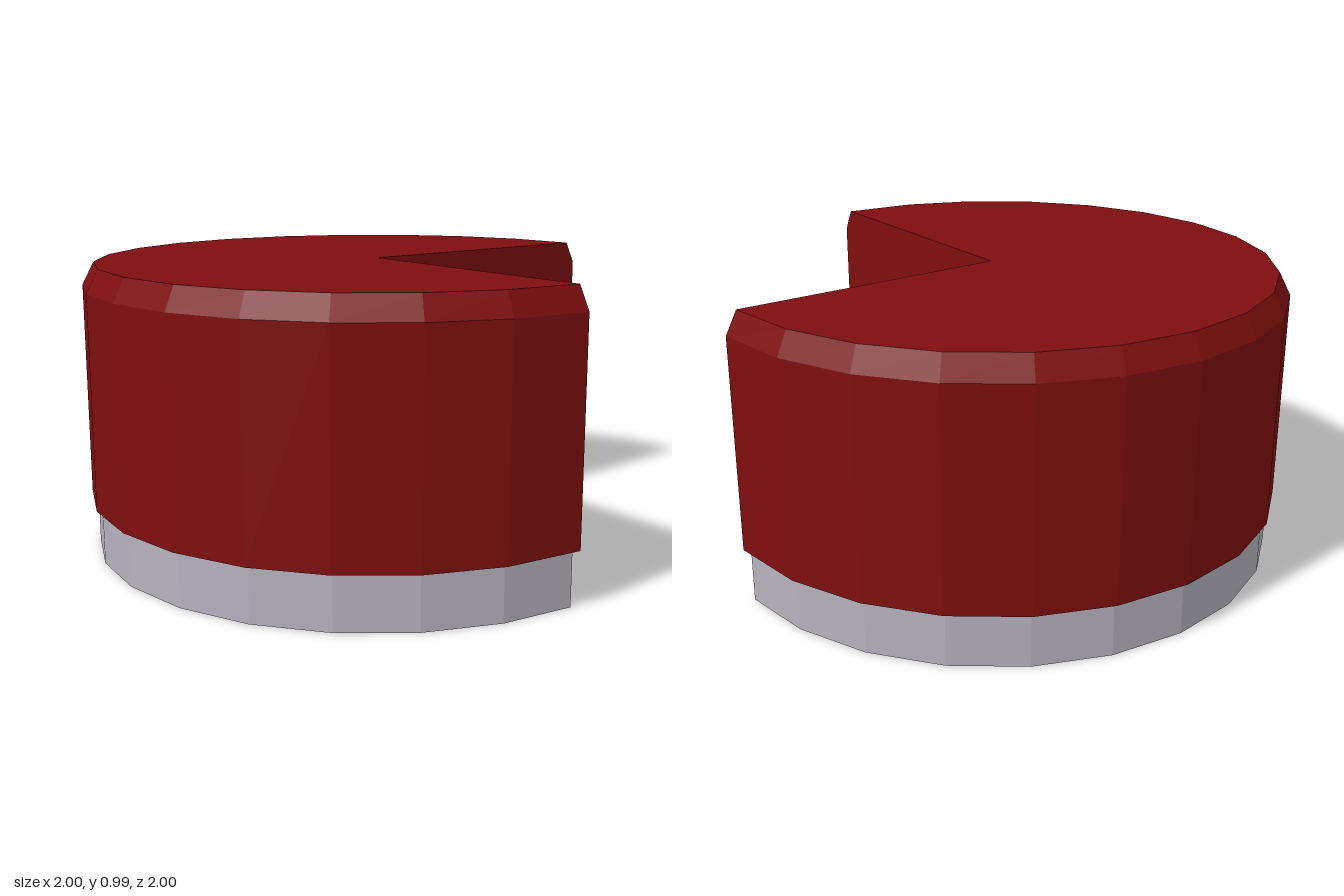
import * as THREE from 'three';

const SEGMENTS = 18; // three quarters of a 24-sided circle

// Three-quarter disc outline: notch corner first, then the arc from +x round the back to +z.
function outline(radius, corner, y) {
  const pts = [new THREE.Vector3(corner, y, corner)];
  for (let i = 0; i <= SEGMENTS; i++) {
    const a = (i / SEGMENTS) * Math.PI * 1.5;
    const x = i === SEGMENTS ? corner : radius * Math.cos(a);
    const z = i === 0 ? corner : -radius * Math.sin(a);
    pts.push(new THREE.Vector3(x, y, z));
  }
  return pts;
}

// Joins outlines from bottom to top, optionally closing the last one.
function loft(rings, capped) {
  const tris = [];
  for (let r = 0; r < rings.length - 1; r++) {
    const low = rings[r], high = rings[r + 1];
    for (let i = 0; i < low.length; i++) {
      const j = (i + 1) % low.length;
      tris.push(low[i], low[j], high[j], low[i], high[j], high[i]);
    }
  }
  if (capped) {
    const top = rings[rings.length - 1];
    for (let i = 1; i < top.length - 1; i++) tris.push(top[0], top[i], top[i + 1]);
  }
  const geometry = new THREE.BufferGeometry().setFromPoints(tris);
  geometry.computeVertexNormals();
  return geometry;
}

function material(name, color) {
  const m = new THREE.MeshStandardMaterial({ color, flatShading: true, side: THREE.DoubleSide });
  m.name = name;
  return m;
}

export function createModel() {
  const group = new THREE.Group();
  group.name = 'notchedDrum';

  // Hollow red shell: narrow lip underneath, straight wall, bevel and flat top
  const shell = new THREE.Mesh(loft([
    outline(0.98, -0.004, 0.183),
    outline(1, 0.01, 0.183),
    outline(1, 0.01, 0.91),
    outline(0.96, 0.01, 0.987),
  ], true), material('dark red', 0x7e0e0f));
  shell.name = 'upperShell';

  // Grey skirt, open above and below
  const skirt = new THREE.Mesh(loft([
    outline(0.98, -0.004, 0),
    outline(0.98, -0.004, 0.183),
  ], false), material('light grey', 0xb6b2be));
  skirt.name = 'baseSkirt';

  group.add(shell, skirt);
  return group;
}
